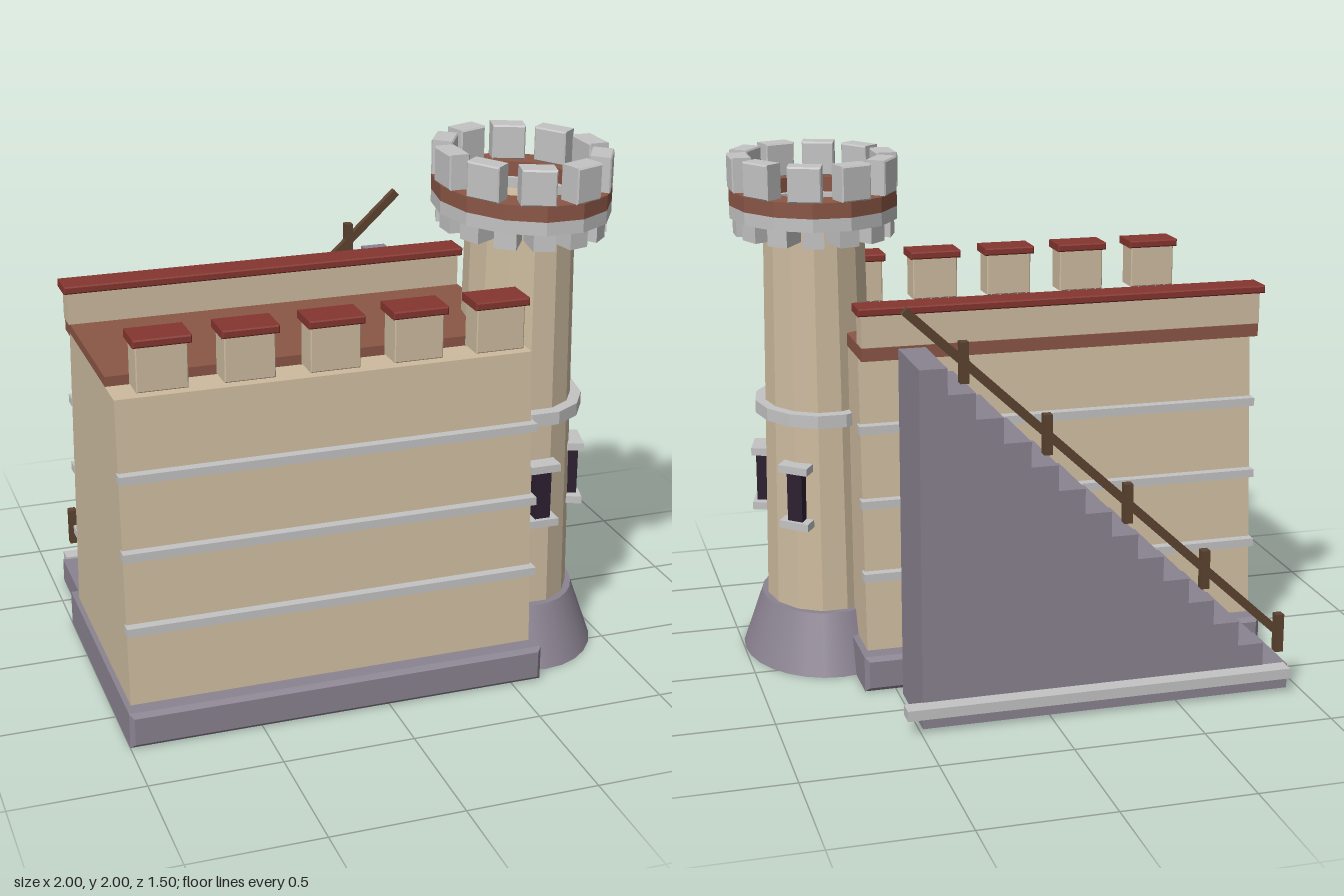
import * as THREE from 'three';

const mat = (name, color) => Object.assign(new THREE.MeshStandardMaterial({ color }), { name });

export function createModel() {
  const sand = mat('sandstone', 0xcdbb9f);
  const stone = mat('pale stone', 0xc4c3c4);
  const slate = mat('slate foundation', 0x8a8290);
  const clay = mat('clay floor', 0x8a5645);
  const red = mat('red coping', 0x85352f);
  const wood = mat('dark wood', 0x5c4330);
  const dark = mat('window dark', 0x2c2030);

  const model = new THREE.Group();
  model.name = 'castle';

  const add = (parent, name, geometry, material) => {
    const mesh = new THREE.Mesh(geometry, material);
    mesh.name = name;
    parent.add(mesh);
    return mesh;
  };

  // Box given by its limits; a bevel chamfers every edge
  const box = (parent, name, material, [x0, x1], [y0, y1], [z0, z1], bevel = 0) => {
    const w = x1 - x0, h = y1 - y0, d = z1 - z0;
    let geo;
    if (bevel) {
      const a = w / 2 - bevel, b = h / 2 - bevel;
      const shape = new THREE.Shape([[-a, -b], [a, -b], [a, b], [-a, b]].map(p => new THREE.Vector2(...p)));
      geo = new THREE.ExtrudeGeometry(shape, {
        depth: d - 2 * bevel, bevelEnabled: true, bevelSize: bevel, bevelThickness: bevel, bevelSegments: 1,
      });
      geo.translate(0, 0, -(d - 2 * bevel) / 2);
    } else geo = new THREE.BoxGeometry(w, h, d);
    const mesh = add(parent, name, geo, material);
    mesh.position.set((x0 + x1) / 2, (y0 + y1) / 2, (z0 + z1) / 2);
    return mesh;
  };

  // ---- Wall block ----
  const wall = new THREE.Group();
  wall.name = 'wall';
  model.add(wall);
  box(wall, 'wallFoundation', slate, [-1, 0.62], [0, 0.14], [-0.31, 0.75], 0.017);

  // Body leans inward towards the top at front and back
  const section = new THREE.Shape([[-0.23, 0.13], [0.675, 0.13], [0.6, 1.3], [-0.15, 1.3]]
    .map(p => new THREE.Vector2(...p)));
  const body = new THREE.ExtrudeGeometry(section, { depth: 1.575, bevelEnabled: false });
  body.rotateY(-Math.PI / 2).translate(0.595, 0, 0);
  add(wall, 'wallBody', body, sand);

  // String courses on the front and back faces
  for (const y of [0.44, 0.725, 1.015]) {
    const lean = (1.3 - y) / 1.17 * 0.075;
    box(wall, 'frontCourse', stone, [-0.985, 0.605], [y - 0.016, y + 0.016], [0.59 + lean, 0.636 + lean]);
    box(wall, 'backCourse', stone, [-0.985, 0.605], [y - 0.016, y + 0.016], [-0.19 - lean, -0.14 - lean]);
  }

  box(wall, 'walkway', clay, [-0.98, 0.597], [1.287, 1.337], [-0.23, 0.46]);
  box(wall, 'backParapet', sand, [-0.985, 0.595], [1.337, 1.465], [-0.225, -0.135]);
  box(wall, 'backCoping', red, [-1, 0.61], [1.46, 1.49], [-0.245, -0.12], 0.005);

  // Row of capped front merlons
  for (let i = 0; i < 5; i++) {
    const x = -0.82 + i * 0.315;
    box(wall, 'wallMerlon', sand, [x - 0.093, x + 0.093], [1.34, 1.512], [0.55, 0.663], 0.004);
    box(wall, 'merlonCap', red, [x - 0.105, x + 0.105], [1.508, 1.538], [0.535, 0.68], 0.005);
  }

  // ---- Oval tower: round parts squeezed along x ----
  const tower = new THREE.Group();
  tower.name = 'tower';
  tower.position.set(0.675, 0, 0.272);
  tower.scale.x = 0.795;
  model.add(tower);
  const SIDES = 14;

  const skirt = new THREE.CylinderGeometry(0.305, 0.405, 0.23, SIDES * 2);
  skirt.translate(0, 0.115, 0);
  add(tower, 'towerFoundation', skirt, slate);

  const flat = geo => {
    const g = geo.toNonIndexed();
    g.computeVertexNormals();
    return g;
  };
  const shaft = flat(new THREE.CylinderGeometry(0.247, 0.28, 1.57, SIDES).rotateY(Math.PI / 2));
  shaft.translate(0, 0.985, 0);
  add(tower, 'towerShaft', shaft, sand);

  const ring = (name, material, rIn, rOut, y0, y1) => {
    const profile = [[rIn, y0], [rOut, y0], [rOut, y1], [rIn, y1], [rIn, y0]].map(p => new THREE.Vector2(...p));
    add(tower, name, flat(new THREE.LatheGeometry(profile, SIDES, Math.PI / 2)), material);
  };
  ring('towerBand', stone, 0.24, 0.313, 0.985, 1.035);
  ring('galleryRing', stone, 0.243, 0.408, 1.76, 1.81);
  ring('galleryFloor', clay, 0.268, 0.408, 1.81, 1.868);

  // Group turned to face outward at an angle from the front
  const spoke = (name, angle) => {
    const g = new THREE.Group();
    g.name = name;
    g.rotation.y = angle;
    tower.add(g);
    return g;
  };
  for (let i = 0; i < SIDES; i++) {
    const g = spoke('corbel', Math.PI / 2 + i / SIDES * Math.PI * 2);
    box(g, 'corbelBlock', stone, [-0.05, 0.05], [1.695, 1.765], [0.225, 0.385]);
  }
  for (let i = 0; i < 10; i++) {
    const g = spoke('towerMerlon', Math.PI / 2 + i / 10 * Math.PI * 2);
    box(g, 'merlonBlock', stone, [-0.078, 0.078], [1.866, 2], [0.303, 0.402], 0.006);
  }
  // Windows on the exposed side, each with sill and lintel
  for (let i = 0; i < 3; i++) {
    const g = spoke('window', i * Math.PI * 0.4);
    box(g, 'windowPane', dark, [-0.038, 0.038], [0.6, 0.805], [0.22, 0.312]);
    box(g, 'sill', stone, [-0.075, 0.075], [0.575, 0.605], [0.2, 0.33]);
    box(g, 'lintel', stone, [-0.075, 0.075], [0.8, 0.83], [0.2, 0.33]);
  }

  // ---- Staircase behind the wall, rising towards the tower side ----
  const stairs = new THREE.Group();
  stairs.name = 'staircase';
  model.add(stairs);
  const STEPS = 14, run = 1.44 / STEPS, rise = 1.36 / STEPS, startX = -0.955;
  const outline = new THREE.Shape();
  outline.moveTo(startX, 0);
  outline.lineTo(startX + run * STEPS, 0);
  for (let i = STEPS; i > 0; i--) {
    outline.lineTo(startX + run * i, rise * i);
    outline.lineTo(startX + run * (i - 1), rise * i);
  }
  outline.closePath();
  const steps = new THREE.ExtrudeGeometry(outline, { depth: 0.333, bevelEnabled: false });
  steps.translate(0, 0, -0.688);
  add(stairs, 'steps', steps, slate);
  box(stairs, 'stairPlinth', stone, [-0.94, 0.555], [0.065, 0.105], [-0.752, -0.685]);

  // Sloping handrail with short posts
  const from = new THREE.Vector2(-0.905, 0.24), to = new THREE.Vector2(0.54, 1.58);
  const span = to.clone().sub(from);
  const rail = box(stairs, 'handrail', wood, [-span.length() / 2, span.length() / 2], [-0.016, 0.016], [-0.716, -0.688]);
  rail.position.set((from.x + to.x) / 2, (from.y + to.y) / 2, -0.702);
  rail.rotation.z = span.angle();
  for (let i = 0; i < 5; i++) {
    const x = -0.903 + i * 0.308;
    const y = from.y + (x - from.x) * span.y / span.x;
    box(stairs, 'railPost', wood, [x - 0.016, x + 0.016], [y - 0.075, y + 0.075], [-0.724, -0.688]);
  }

  return model;
}
